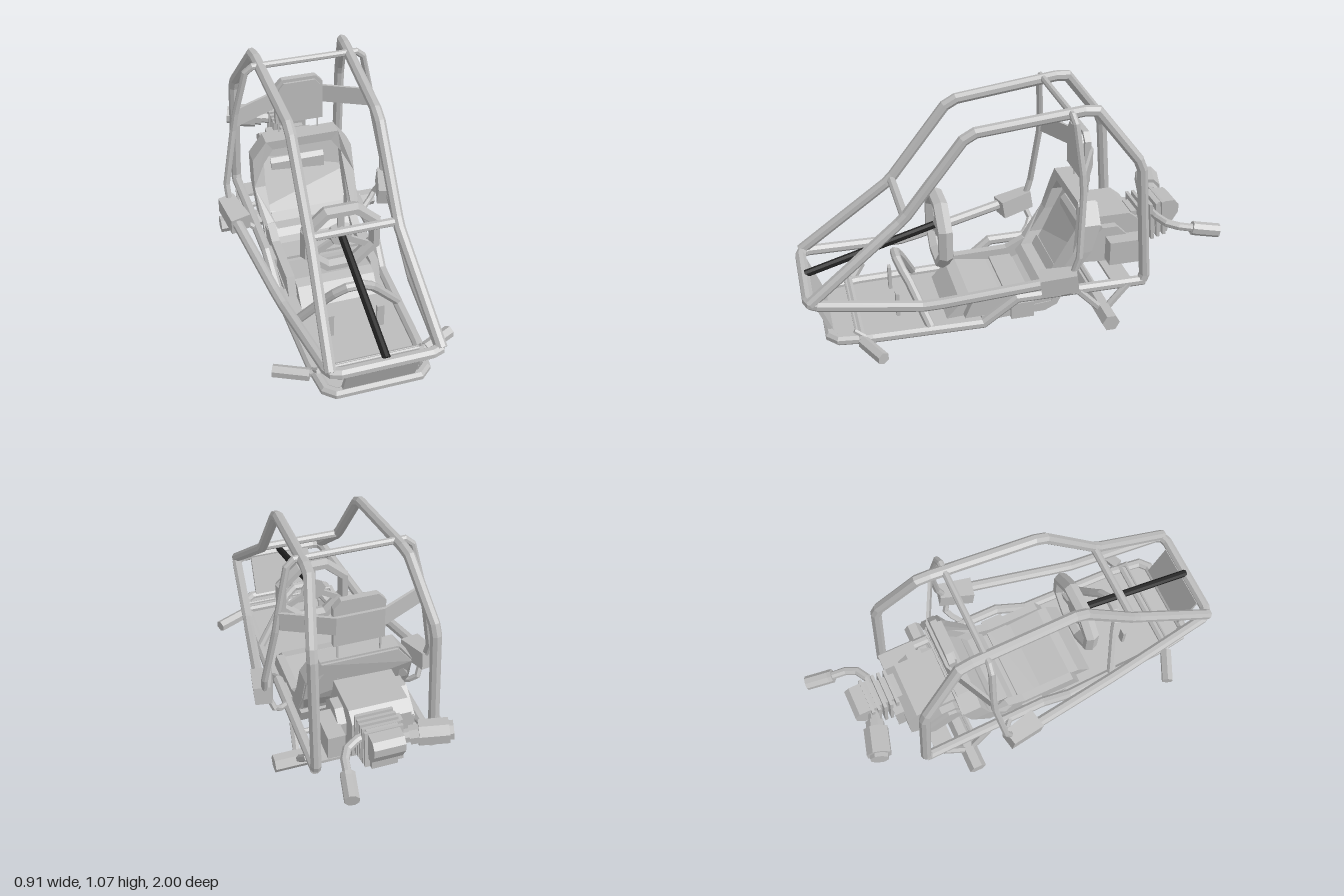
import * as THREE from 'three';

export function createModel() {
  const kart = new THREE.Group();
  kart.name = 'kart';
  const grey = new THREE.MeshStandardMaterial({ color: 0xbcbcbc });
  grey.name = 'metal grey';
  const black = new THREE.MeshStandardMaterial({ color: 0x222222 });
  black.name = 'shaft black';

  // Faceted mesh: split the vertices so every face gets its own normal
  function add(name, geo, mat = grey) {
    const g = geo.index ? geo.toNonIndexed() : geo;
    g.computeVertexNormals();
    const m = new THREE.Mesh(g, mat);
    m.name = name;
    kart.add(m);
    return m;
  }

  // Mitred tube along a polyline, with end caps
  function tube(name, pts, r, sides = 8, mat = grey) {
    const P = pts.map(p => new THREE.Vector3(...p));
    const dir = i => P[i + 1].clone().sub(P[i]).normalize();
    const d0 = dir(0);
    const ref = Math.abs(d0.y) > 0.9 ? new THREE.Vector3(0, 0, 1) : new THREE.Vector3(0, 1, 0);
    const u = ref.cross(d0).normalize(), v = d0.clone().cross(u);
    let ring = [];
    for (let k = 0; k < sides; k++) {
      const a = (k + 0.5) / sides * Math.PI * 2;
      ring.push(P[0].clone().addScaledVector(u, r * Math.cos(a)).addScaledVector(v, r * Math.sin(a)));
    }
    const pos = [], idx = [];
    const put = list => list.forEach(q => pos.push(q.x, q.y, q.z));
    put(ring);
    for (let i = 1; i < P.length; i++) {
      const d = dir(i - 1);
      const n = i < P.length - 1 ? d.clone().add(dir(i)) : d.clone();
      ring = ring.map(q => q.clone().addScaledVector(d, P[i].clone().sub(q).dot(n) / d.dot(n)));
      put(ring);
      for (let k = 0; k < sides; k++) {
        const a = (i - 1) * sides + k, b = (i - 1) * sides + (k + 1) % sides;
        idx.push(a, b, b + sides, a, b + sides, a + sides);
      }
    }
    const last = (P.length - 1) * sides;
    for (let k = 1; k < sides - 1; k++) idx.push(0, k + 1, k, last, last + k, last + k + 1);
    const g = new THREE.BufferGeometry();
    g.setAttribute('position', new THREE.Float32BufferAttribute(pos, 3));
    g.setIndex(idx);
    return add(name, g, mat);
  }
  const flip = pts => pts.map(([x, y, z]) => [-x, y, z]);
  const both = (name, pts, r, sides) => {
    tube(name + 'Left', pts, r, sides);
    tube(name + 'Right', flip(pts), r, sides);
  };
  // One tube running from the left side across the middle to the right
  const across = (name, pts, r, sides) => tube(name, [...pts, ...flip(pts).reverse()], r, sides);

  const shape = pts => new THREE.Shape(pts.map(p => new THREE.Vector2(...p)));
  const mirrored = pts => [...pts, ...pts.map(([x, y]) => [-x, y]).reverse()];
  const extrude = (s, depth) => new THREE.ExtrudeGeometry(s, { depth, bevelEnabled: false });
  // Side profile (z, y) spanning x0..x1
  const side = (name, pts, x0, x1) =>
    add(name, extrude(shape(pts), x1 - x0).rotateY(-Math.PI / 2).translate(x1, 0, 0));
  // Plan outline (x, z) spanning y0..y1
  const plan = (name, pts, y0, y1) =>
    add(name, extrude(shape(pts), y1 - y0).rotateX(Math.PI / 2).translate(0, y1, 0));
  const box = (name, w, h, d, x, y, z) => add(name, new THREE.BoxGeometry(w, h, d).translate(x, y, z));

  // Frame
  both('rollCage', [[0.245, 0.27, 0.965], [0.2, 0.6, 0.54], [0.2, 0.635, 0.505], [0.2, 0.965, 0.245],
    [0.2, 0.995, 0.19], [0.218, 1.052, -0.3], [0.222, 1.047, -0.36], [0.272, 0.81, -0.545], [0.276, 0.76, -0.565],
    [0.28, 0.2, -0.61], [0.28, 0.17, -0.6]], 0.026);
  across('sideRail', [[0.4, 0.305, -0.1], [0.325, 0.228, 0.38], [0.31, 0.218, 0.47], [0.25, 0.258, 0.93],
    [0.235, 0.262, 0.96], [0.2, 0.262, 0.972]], 0.026);
  across('bottomRail', [[0.28, 0.165, -0.61], [0.275, 0.165, 0.02], [0.265, 0.045, 0.18], [0.25, 0.045, 0.7],
    [0.23, 0.045, 0.85], [0.19, 0.045, 0.885]], 0.025);
  across('frontCrossBar', [[0.2, 0.62, 0.515]], 0.02);
  across('upperHoop', [[0.4, 0.34, -0.21], [0.403, 0.42, -0.235], [0.35, 0.71, -0.262], [0.335, 0.8, -0.26],
    [0.285, 1.02, -0.24], [0.25, 1.05, -0.235]], 0.016);
  both('podBracket', [[0.38, 0.27, -0.2], [0.36, 0.22, -0.22], [0.33, 0.19, -0.2], [0.27, 0.165, -0.15]], 0.015, 6);

  // Tapered side pods
  for (const s of [1, -1]) {
    const g = new THREE.BoxGeometry(0.1, 0.09, 0.17);
    const p = g.attributes.position;
    for (let i = 0; i < p.count; i++) if (p.getZ(i) < 0) p.setX(i, p.getX(i) * 0.8);
    const pod = add(s > 0 ? 'sidePodLeft' : 'sidePodRight', g);
    pod.position.set(s * 0.395, 0.302, -0.145);
    pod.rotation.set(0.14, -s * 0.22, -s * 0.03);
  }

  // Floor, nose panel and the pan under the seat
  plan('floor', mirrored([[0.18, 0.885], [0.23, 0.85], [0.25, 0.7], [0.265, 0.16]]), 0.028, 0.042);
  side('nosePanel', [[0.885, 0.05], [0.965, 0.26], [0.945, 0.26], [0.865, 0.05]], -0.165, 0.165);
  side('underPan', [[0.18, 0.03], [0.05, 0.04], [-0.13, 0.042], [-0.19, 0.07], [-0.235, 0.16],
    [-0.2, 0.16], [-0.16, 0.09], [0.18, 0.06]], -0.235, 0.235);
  box('crossBeam', 0.52, 0.082, 0.11, 0, 0.078, -0.013);
  plan('enginePlate', mirrored([[0.26, -0.46], [0.26, -0.56]]), 0.145, 0.16);
  across('engineMountBar', [[0.27, 0.165, -0.36]], 0.014, 6);

  // Axles and their struts
  add('rearAxle', new THREE.CylinderGeometry(0.043, 0.043, 0.84, 6).rotateZ(Math.PI / 2).translate(0, 0.043, -0.4));
  both('rearAxleStrut', [[0.29, 0.16, -0.28], [0.305, 0.06, -0.38], [0.305, 0.06, -0.42], [0.29, 0.16, -0.52]], 0.018, 6);
  both('frontSpindle', [[0.42, 0.043, 0.675], [0.27, 0.043, 0.745]], 0.03, 6);
  across('frontAxle', [[0.28, 0.045, 0.74], [0.24, 0.06, 0.75]], 0.018, 6);
  both('steeringArm', [[0.26, 0.04, 0.71], [0.24, 0.09, 0.78]], 0.012, 6);
  across('tieRod', [[0.24, 0.085, 0.77]], 0.008, 6);

  // Pedals and steering
  for (const s of [1, -1]) box('pedal', 0.035, 0.12, 0.016, s * 0.12, 0.125, 0.56);
  across('columnHoop', [[0.255, 0.06, 0.43], [0.12, 0.235, 0.5], [0.085, 0.28, 0.523], [0.035, 0.315, 0.54]], 0.022);
  tube('steeringShaft', [[0, 0.28, 0.965], [0, 0.455, 0.35]], 0.018, 8, black);
  add('steeringWheel', new THREE.TorusGeometry(0.177, 0.03, 6, 8).rotateZ(Math.PI / 8)
    .scale(1, 0.92, 1.25).translate(0, 0.435, 0.33));
  add('wheelHub', new THREE.CylinderGeometry(0.05, 0.065, 0.03, 8).rotateX(Math.PI / 2).translate(0, 0.445, 0.33));
  for (let k = 0; k < 3; k++) {
    const a = Math.PI / 2 + k * Math.PI * 2 / 3;
    add('wheelSpoke', new THREE.BoxGeometry(0.13, 0.03, 0.016).translate(0.1, 0, 0).rotateZ(a).translate(0, 0.44, 0.33));
  }

  // Seat: curved back shell, raised rim and cushion
  const rake = (g, z0) => {
    const p = g.attributes.position;
    for (let i = 0; i < p.count; i++) {
      const t = p.getY(i) - 0.15;
      p.setZ(i, p.getZ(i) + z0 - t + 1.3 * t * t);
    }
    return g;
  };
  const outline = mirrored([[0.21, 0.14], [0.25, 0.22], [0.255, 0.35], [0.25, 0.48], [0.18, 0.57]]);
  add('seatBack', rake(extrude(shape(outline), 0.03), -0.2));
  const rim = shape(mirrored([[0.215, 0.14], [0.255, 0.22], [0.26, 0.35], [0.255, 0.485], [0.185, 0.58]]));
  rim.holes.push(new THREE.Path(mirrored([[0.18, 0.17], [0.2, 0.23], [0.205, 0.35], [0.2, 0.46], [0.15, 0.53]])
    .map(p => new THREE.Vector2(...p))));
  add('seatRim', rake(extrude(rim, 0.085), -0.19));
  side('seatCushion', [[0.34, 0.045], [0.27, 0.12], [0.22, 0.13], [0.06, 0.105], [-0.08, 0.1], [-0.15, 0.125],
    [-0.21, 0.21], [-0.23, 0.19], [-0.18, 0.07]], -0.19, 0.19);
  for (const s of [1, -1])
    side('seatBolster', [[0.26, 0.06], [0.22, 0.15], [-0.05, 0.155], [-0.14, 0.2], [-0.22, 0.2], [-0.18, 0.06]],
      s * 0.21 - 0.02, s * 0.21 + 0.02);

  // Headrest on its wrap-around band
  plan('headBand', [[-0.335, -0.262], [-0.11, -0.372], [0.11, -0.372], [0.335, -0.262],
    [0.335, -0.276], [0.112, -0.386], [-0.112, -0.386], [-0.335, -0.276]], 0.72, 0.812);
  const rest = mirrored([[0.12, 0.645], [0.12, 0.85], [0.085, 0.888]]);
  add('headrest', extrude(shape(rest), 0.03).translate(0, 0, -0.372));
  const pad = mirrored([[0.105, 0.655], [0.105, 0.84], [0.078, 0.872]]);
  add('headrestPad', extrude(shape(pad), 0.012).translate(0, 0, -0.343));
  for (const s of [1, -1]) box('headrestPost', 0.007, 0.2, 0.007, s * 0.1, 0.55, -0.37);

  // Engine block with covers
  side('engineBlock', [[-0.32, 0.21], [-0.32, 0.43], [-0.34, 0.45], [-0.58, 0.45], [-0.63, 0.41], [-0.63, 0.22],
    [-0.58, 0.19]], -0.155, 0.12);
  box('crankcase', 0.2, 0.17, 0.08, 0, 0.33, -0.63);
  side('driveCover', [[-0.35, 0.36], [-0.4, 0.42], [-0.47, 0.42], [-0.58, 0.34], [-0.58, 0.26], [-0.52, 0.225],
    [-0.44, 0.23], [-0.35, 0.3]], -0.19, -0.15);
  side('driveCap', [[-0.37, 0.35], [-0.4, 0.39], [-0.44, 0.4], [-0.56, 0.31], [-0.56, 0.265], [-0.52, 0.245],
    [-0.38, 0.32]], -0.205, -0.185);
  add('starterCover', new THREE.CylinderGeometry(0.095, 0.095, 0.05, 8).rotateY(Math.PI / 8)
    .rotateZ(Math.PI / 2).translate(0.135, 0.32, -0.47));
  box('ignitionBox', 0.08, 0.12, 0.18, 0.19, 0.3, -0.54);
  box('ignitionBracket', 0.1, 0.03, 0.06, 0.14, 0.27, -0.5);

  // Finned cylinder and head
  box('cylinder', 0.12, 0.14, 0.2, 0.03, 0.37, -0.7);
  for (let i = 0; i < 5; i++) {
    const fin = box('coolingFin', 0.175, 0.205 - i * 0.006, 0.015, 0, 0, 0);
    fin.position.set(0.025, 0.365 + i * 0.006, -0.645 - i * 0.03);
    fin.rotation.x = 0.1;
  }
  side('cylinderHead', [[-0.73, 0.34], [-0.73, 0.475], [-0.82, 0.475], [-0.845, 0.45], [-0.845, 0.41], [-0.81, 0.35]],
    -0.045, 0.098);

  // Air filter and exhaust
  tube('intake', [[-0.03, 0.41, -0.755], [-0.11, 0.425, -0.775]], 0.03);
  tube('airFilterNeck', [[-0.09, 0.42, -0.77], [-0.13, 0.428, -0.782]], 0.045);
  tube('airFilter', [[-0.125, 0.43, -0.778], [-0.25, 0.438, -0.812]], 0.06);
  tube('airFilterCap', [[-0.25, 0.438, -0.812], [-0.27, 0.44, -0.818]], 0.045);
  tube('exhaustPipe', [[0.07, 0.42, -0.71], [0.13, 0.415, -0.72], [0.185, 0.405, -0.75], [0.212, 0.395, -0.8],
    [0.225, 0.38, -0.88]], 0.02);
  tube('muffler', [[0.222, 0.383, -0.865], [0.226, 0.378, -0.885], [0.247, 0.363, -0.995]], 0.034);
  return kart;
}
